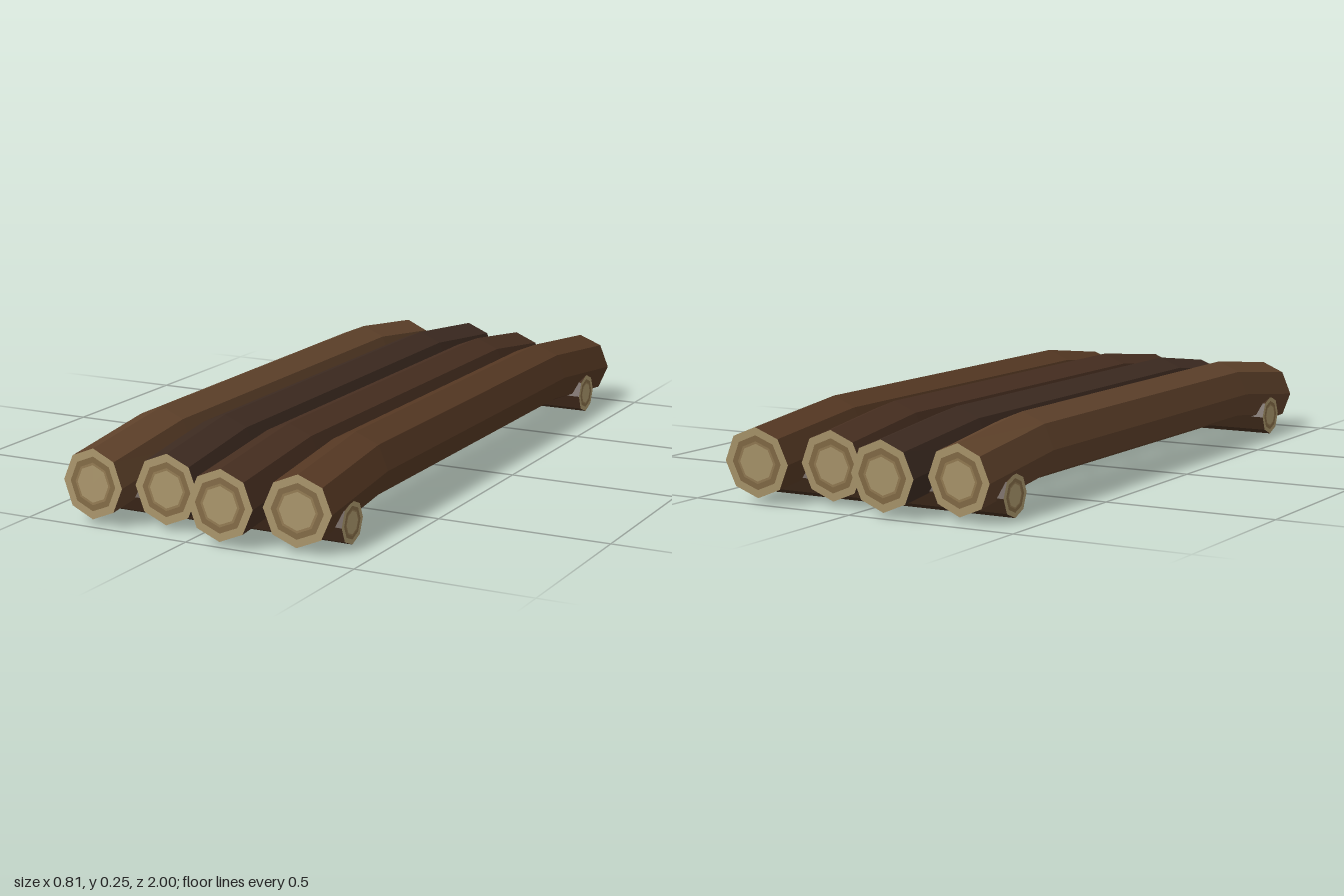
import * as THREE from 'three';

const mat = (color) => new THREE.MeshStandardMaterial({ color, flatShading: true, roughness: 1 });
const pale = mat(0xa8946a);
const dark = mat(0x826a45);
const mid = mat(0x927a52);

// Growth rings on a sawn end: inner and outer radius as a share of the log radius
const RINGS = [
  ['outerWood', 0.77, 1, pale],
  ['darkRing', 0.6, 0.77, dark],
  ['middleRing', 0.53, 0.6, mid],
  ['heartwood', 0, 0.53, pale],
];

// Eight-sided log along z; stations run back to front as [z, y], and the
// sawn ends are slanted by yaw (across x) and pitch (up y)
function makeLog(name, radius, stations, bark, yaw = 0, pitch = 0) {
  const log = new THREE.Group();
  log.name = name;
  const last = stations.length - 1;

  const geo = new THREE.CylinderGeometry(radius, radius, last, 8, last, true);
  geo.rotateX(Math.PI / 2);
  const p = geo.attributes.position;
  for (let i = 0; i < p.count; i++) {
    const k = Math.round(p.getZ(i) + last / 2);
    const slant = k === 0 || k === last ? yaw * p.getX(i) + pitch * p.getY(i) : 0;
    p.setY(i, p.getY(i) + stations[k][1]);
    p.setZ(i, stations[k][0] + slant);
  }
  geo.computeVertexNormals();
  const side = new THREE.Mesh(geo, bark);
  side.name = 'bark';
  log.add(side);

  for (const k of [0, last]) {
    for (const [ringName, inner, outer, material] of RINGS) {
      const ring = inner
        ? new THREE.RingGeometry(inner * radius, outer * radius, 8)
        : new THREE.CircleGeometry(outer * radius, 8);
      if (k === 0) ring.rotateY(Math.PI);
      const q = ring.attributes.position;
      for (let i = 0; i < q.count; i++) {
        q.setZ(i, stations[k][0] + yaw * q.getX(i) + pitch * q.getY(i));
        q.setY(i, q.getY(i) + stations[k][1]);
      }
      ring.computeVertexNormals();
      const mesh = new THREE.Mesh(ring, material);
      mesh.name = ringName;
      log.add(mesh);
    }
  }
  return log;
}

export function createModel() {
  const model = new THREE.Group();
  model.name = 'logBridge';

  // Deck logs, bent down at both ends: x, back z, front z, end slant, bark colour
  const logs = [
    [-0.307, -0.947, 0.972, 0.075, 0x5e412a],
    [-0.102, -0.994, 0.928, 0.01, 0x3c2a20],
    [0.102, -0.928, 0.992, -0.01, 0x462e20],
    [0.307, -0.987, 0.947, -0.075, 0x553823],
  ];
  logs.forEach(([x, back, front, yaw, color], i) => {
    const stations = [[back, 0.112], [-0.62, 0.152], [0.62, 0.152], [front, 0.112]];
    const log = makeLog(`deckLog${i + 1}`, 0.098, stations, mat(color), yaw, -0.05);
    log.position.x = x;
    model.add(log);
  });

  // Cross beams under the deck
  const beamBark = mat(0x452e1e);
  for (const [name, z] of [['frontBeam', 0.817], ['backBeam', -0.817]]) {
    const beam = makeLog(name, 0.06, [[-0.4, 0.06], [0.4, 0.06]], beamBark);
    beam.rotation.y = Math.PI / 2;
    beam.position.z = z;
    model.add(beam);
  }
  return model;
}
